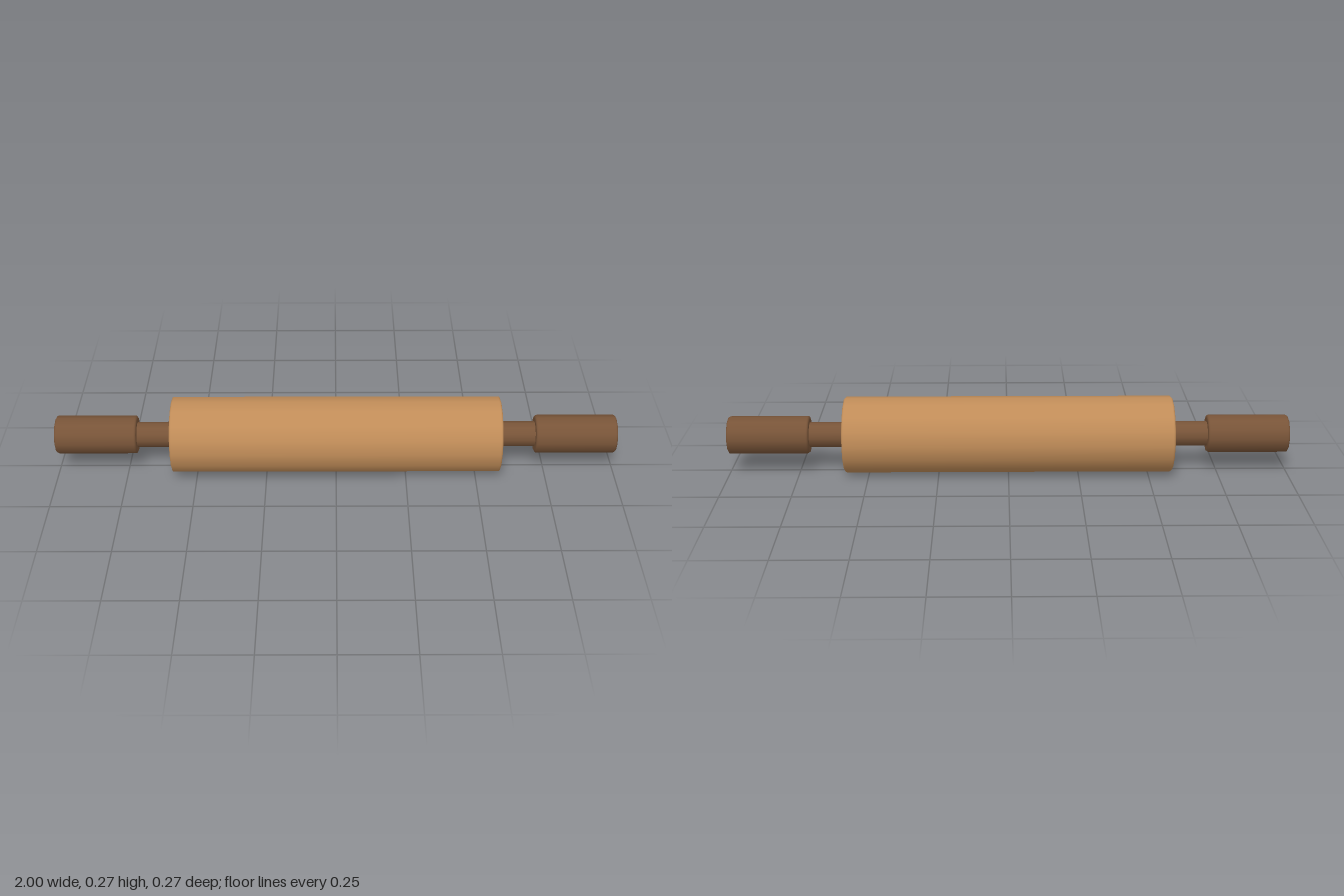
import * as THREE from 'three';

// Solid round bar along x from x0 to x1, with small rounded rims and flat caps
function bar(x0, x1, radius, sides, bevel, material, name) {
  const pts = [new THREE.Vector2(0, x0), new THREE.Vector2(radius - bevel - 0.001, x0)];
  const steps = 3;
  for (let i = 0; i <= steps; i++) {
    const a = (i / steps) * Math.PI / 2;
    pts.push(new THREE.Vector2(radius - bevel + bevel * Math.sin(a), x0 + bevel - bevel * Math.cos(a)));
  }
  for (let i = 0; i <= steps; i++) {
    const a = (i / steps) * Math.PI / 2;
    pts.push(new THREE.Vector2(radius - bevel + bevel * Math.cos(a), x1 - bevel + bevel * Math.sin(a)));
  }
  pts.push(new THREE.Vector2(radius - bevel - 0.001, x1), new THREE.Vector2(0, x1));
  const geometry = new THREE.LatheGeometry(pts, sides).rotateZ(-Math.PI / 2);
  const mesh = new THREE.Mesh(geometry, material);
  mesh.name = name;
  return mesh;
}

export function createModel() {
  const lightWood = new THREE.MeshStandardMaterial({ color: 0xc08c58 });
  lightWood.name = 'light wood';
  const darkWood = new THREE.MeshStandardMaterial({ color: 0x785438 });
  darkWood.name = 'dark wood';

  const model = new THREE.Group();
  model.name = 'rollingPin';
  const R = 0.136;

  // Main roller
  model.add(bar(-0.585, 0.585, R, 16, 0.008, lightWood, 'roller'));

  // Neck and grip at each end
  for (const side of [1, -1]) {
    const handle = new THREE.Group();
    handle.name = side > 0 ? 'leftHandle' : 'rightHandle';
    const neck = new THREE.Mesh(
      new THREE.CylinderGeometry(0.045, 0.045, 0.16, 12).rotateZ(-Math.PI / 2), darkWood);
    neck.position.x = 0.65;
    neck.name = 'neck';
    handle.add(neck, bar(0.71, 1, 0.068, 12, 0.008, darkWood, 'grip'));
    if (side < 0) handle.rotation.y = Math.PI;
    model.add(handle);
  }

  for (const part of model.children) part.position.y = R;
  return model;
}
